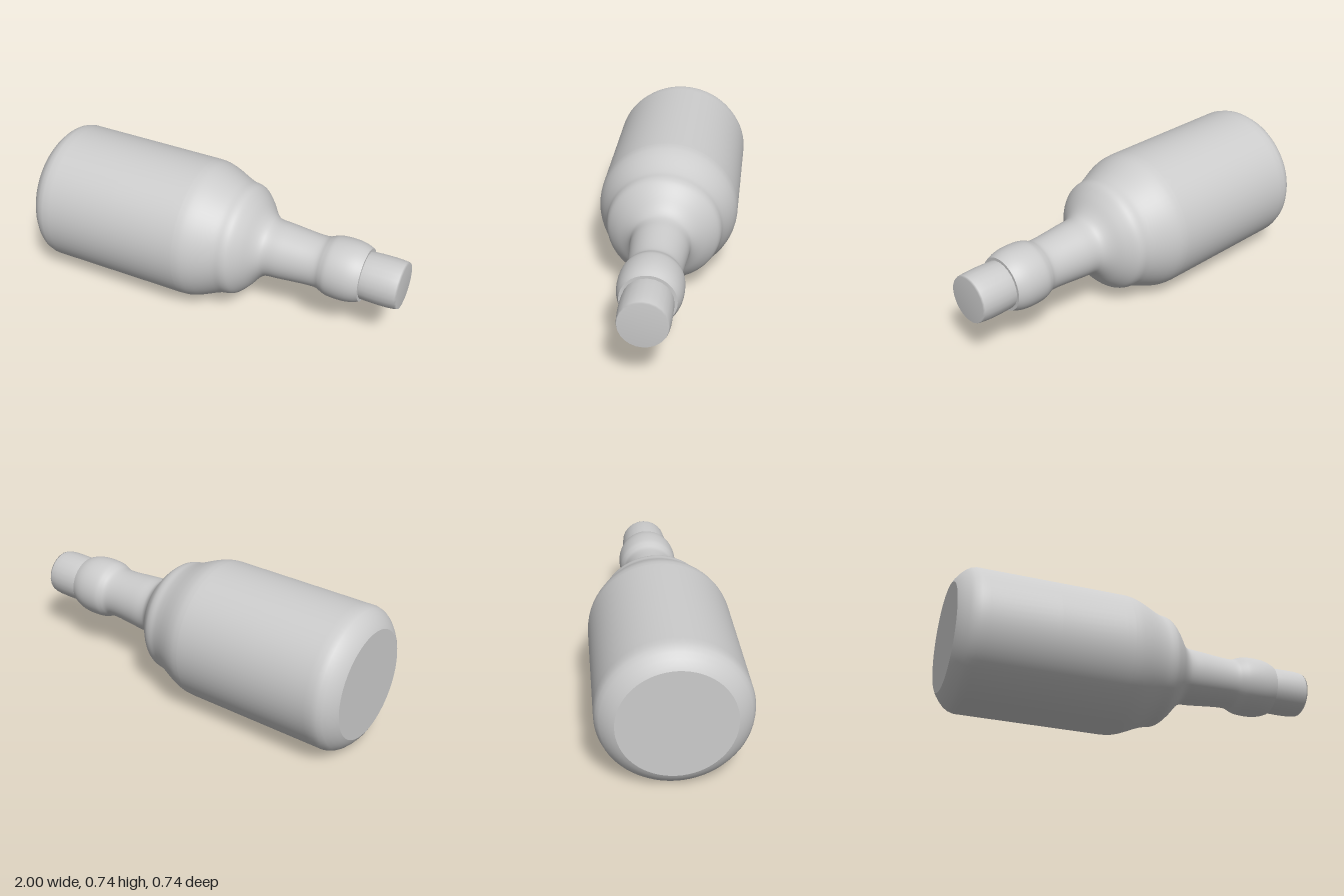
import * as THREE from 'three';

const AXIS_HEIGHT = 0.372;

export function createModel() {
  const model = new THREE.Group();
  model.name = 'bottle';
  const grey = new THREE.MeshStandardMaterial({ color: 0xcccccc });
  grey.name = 'plain grey';

  // The bottle lies on its side: profiles are [position along x, radius]
  const toVectors = (pairs) => pairs.map(([x, r]) => new THREE.Vector2(r, x));
  const addTurned = (name, points, sides) => {
    const geometry = new THREE.LatheGeometry(points, sides);
    geometry.rotateZ(-Math.PI / 2);
    const mesh = new THREE.Mesh(geometry, grey);
    mesh.name = name;
    mesh.position.y = AXIS_HEIGHT;
    model.add(mesh);
  };

  // Flat base
  addTurned('base', toVectors([[-1, 0], [-1, 0.282]]), 64);

  // Rounded heel, straight body, stepped shoulder, neck and swollen lip
  const heel = toVectors([
    [-1, 0.282], [-0.99, 0.302], [-0.972, 0.326], [-0.95, 0.349],
    [-0.928, 0.364], [-0.9, 0.372], [-0.86, 0.372], [-0.5, 0.372], [-0.16, 0.372],
  ]);
  const upper = new THREE.SplineCurve(toVectors([
    [-0.12, 0.372], [-0.08, 0.368], [-0.04, 0.357], [0, 0.341], [0.05, 0.319],
    [0.09, 0.305], [0.13, 0.298], [0.16, 0.283], [0.2, 0.243], [0.24, 0.192],
    [0.27, 0.164], [0.3, 0.153], [0.36, 0.149], [0.44, 0.142], [0.52, 0.136],
    [0.57, 0.137], [0.6, 0.148], [0.63, 0.158], [0.68, 0.162], [0.73, 0.16],
    [0.77, 0.152], [0.803, 0.139],
  ])).getPoints(84);
  addTurned('glassBody', [...heel, ...upper], 64);

  // Narrow ledge closing the lip around the stopper
  addTurned('lipEdge', toVectors([[0.803, 0.139], [0.803, 0.115]]), 64);

  // Stopper, softly shaded over its end
  addTurned('stopper', toVectors([
    [0.79, 0.122], [0.81, 0.125], [0.85, 0.127], [0.9, 0.128],
    [0.95, 0.127], [0.99, 0.123], [1, 0.119], [1, 0],
  ]), 24);

  return model;
}
